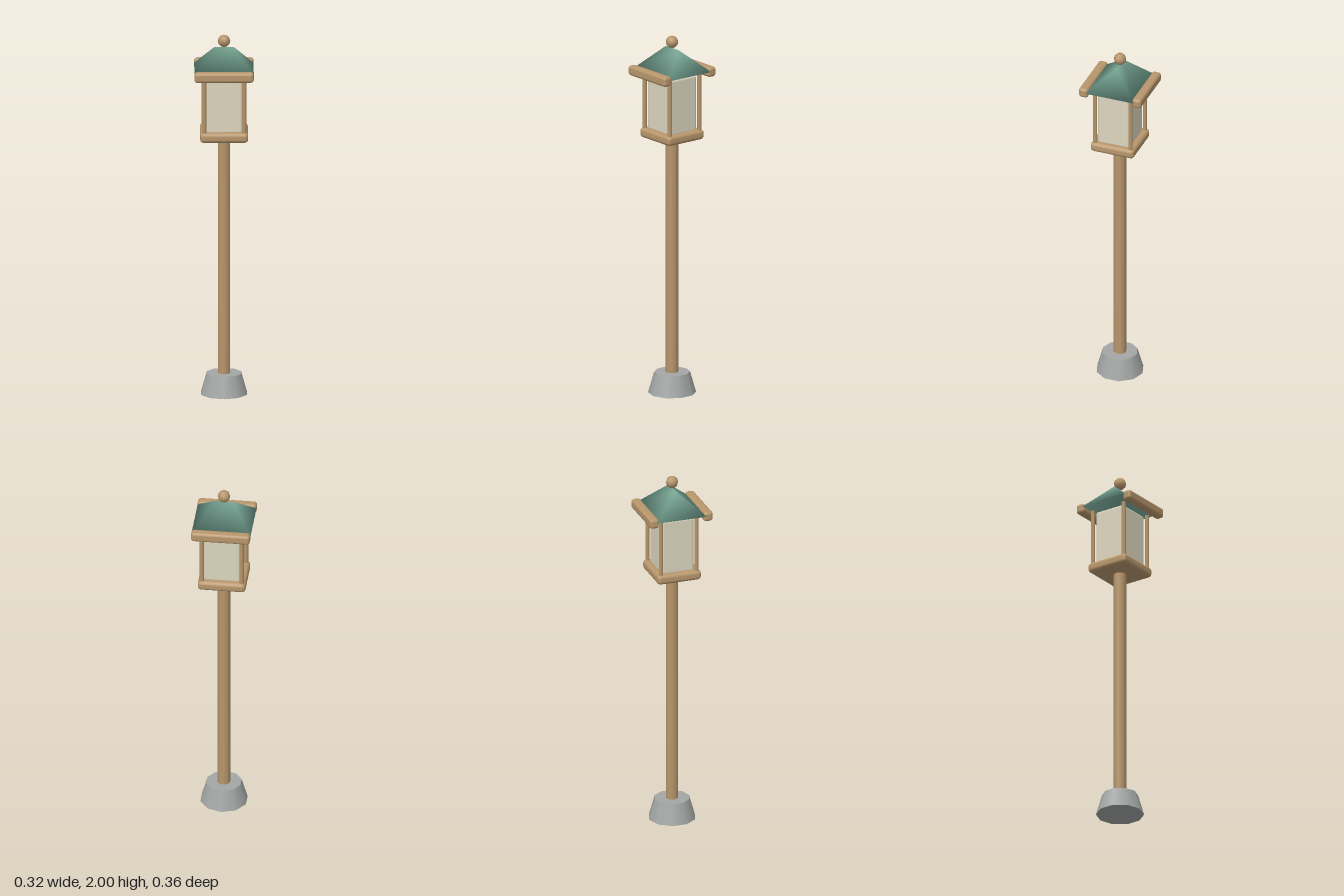
import * as THREE from 'three';
import { RoundedBoxGeometry } from 'three/addons/geometries/RoundedBoxGeometry.js';

const material = (color) => new THREE.MeshStandardMaterial({ color });

// Hipped roof: a rectangular base rising to a short ridge along x
function hipRoof(halfX, halfZ, ridgeHalf, height) {
  const geometry = new THREE.BufferGeometry();
  geometry.setAttribute('position', new THREE.Float32BufferAttribute([
    -halfX, 0, halfZ, halfX, 0, halfZ, halfX, 0, -halfZ, -halfX, 0, -halfZ,
    -ridgeHalf, height, 0, ridgeHalf, height, 0,
  ], 3));
  geometry.setIndex([
    0, 1, 5, 0, 5, 4, // front slope
    2, 3, 4, 2, 4, 5, // back slope
    1, 2, 5, 3, 0, 4, // hipped ends
    0, 3, 2, 0, 2, 1, // underside
  ]);
  geometry.computeVertexNormals();
  return geometry;
}

export function createModel() {
  const group = new THREE.Group();
  const wood = material(0xb8976c);
  const stone = material(0xa3a7a5);
  const paper = material(0xddd6bf);
  const teal = material(0x76a594);

  const add = (name, geometry, mat, x, y, z) => {
    const mesh = new THREE.Mesh(geometry, mat);
    mesh.name = name;
    mesh.position.set(x, y, z);
    group.add(mesh);
    return mesh;
  };

  // Stone foot and pole
  add('foot', new THREE.CylinderGeometry(0.097, 0.13, 0.115, 10), stone, 0, 0.0575, 0);
  add('pole', new THREE.CylinderGeometry(0.035, 0.035, 1.36, 10), wood, 0, 0.76, 0);

  // Lantern floor and paper box
  add('lanternFloor', new RoundedBoxGeometry(0.26, 0.055, 0.25, 2, 0.02), wood, 0, 1.4525, 0);
  add('paperBox', new RoundedBoxGeometry(0.2, 0.315, 0.184, 2, 0.014), paper, 0, 1.6275, 0);

  // Corner posts
  const post = new THREE.CylinderGeometry(0.012, 0.012, 0.325, 8);
  for (const x of [-1, 1])
    for (const z of [-1, 1])
      add('cornerPost', post, wood, x * 0.108, 1.6275, z * 0.102);

  // Eave beams along the front and back
  const beam = new RoundedBoxGeometry(0.32, 0.055, 0.052, 2, 0.016);
  for (const z of [-1, 1]) add('eaveBeam', beam, wood, 0, 1.803, z * 0.154);

  // Roof and finial
  add('roof', hipRoof(0.16, 0.143, 0.052, 0.126), teal, 0, 1.806, 0);
  add('finial', new THREE.SphereGeometry(0.034, 8, 6), wood, 0, 1.966, 0);

  return group;
}
